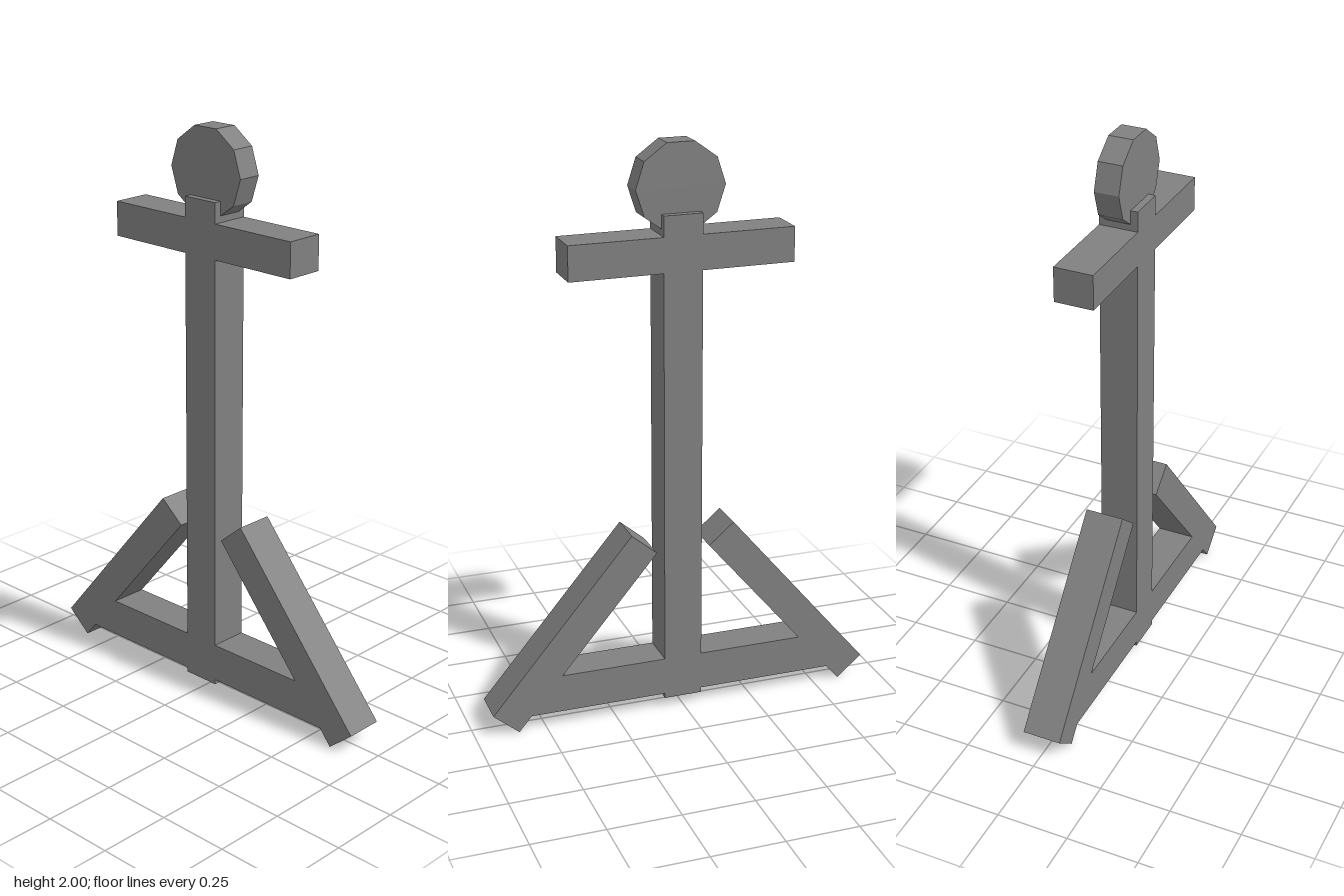
import * as THREE from 'three';

export function createModel() {
  const group = new THREE.Group();
  const grey = new THREE.MeshStandardMaterial({ color: 0x808080, flatShading: true });
  grey.name = 'plain grey';
  const DEPTH = 0.135;

  const add = (name, geometry, x, y, turn = 0) => {
    const mesh = new THREE.Mesh(geometry, grey);
    mesh.name = name;
    mesh.position.set(x, y, 0);
    mesh.rotation.z = turn;
    group.add(mesh);
  };
  // square-cut beam lying between two points in the xy plane
  const beam = (name, x1, y1, x2, y2, width) => add(
    name,
    new THREE.BoxGeometry(Math.hypot(x2 - x1, y2 - y1), width, DEPTH),
    (x1 + x2) / 2, (y1 + y2) / 2, Math.atan2(y2 - y1, x2 - x1));

  // upright, arms and foot
  beam('post', 0, 0.04, 0, 1.77, 0.135);
  beam('crossArm', -0.39, 1.64, 0.39, 1.64, 0.12);
  beam('baseBeam', -0.56, 0.125, 0.56, 0.125, 0.135);

  // slanted braces, mirrored
  for (const [side, s] of [['left', 1], ['right', -1]])
    beam(side + 'Brace', s * 0.642, 0.042, s * 0.14, 0.638, 0.117);

  // ten-sided head disc, with a flat side on top
  const disc = new THREE.CylinderGeometry(0.154, 0.154, 0.085, 10);
  disc.rotateY(Math.PI / 2).rotateX(Math.PI / 2);
  add('headDisc', disc, 0, 1.854);

  return group;
}
